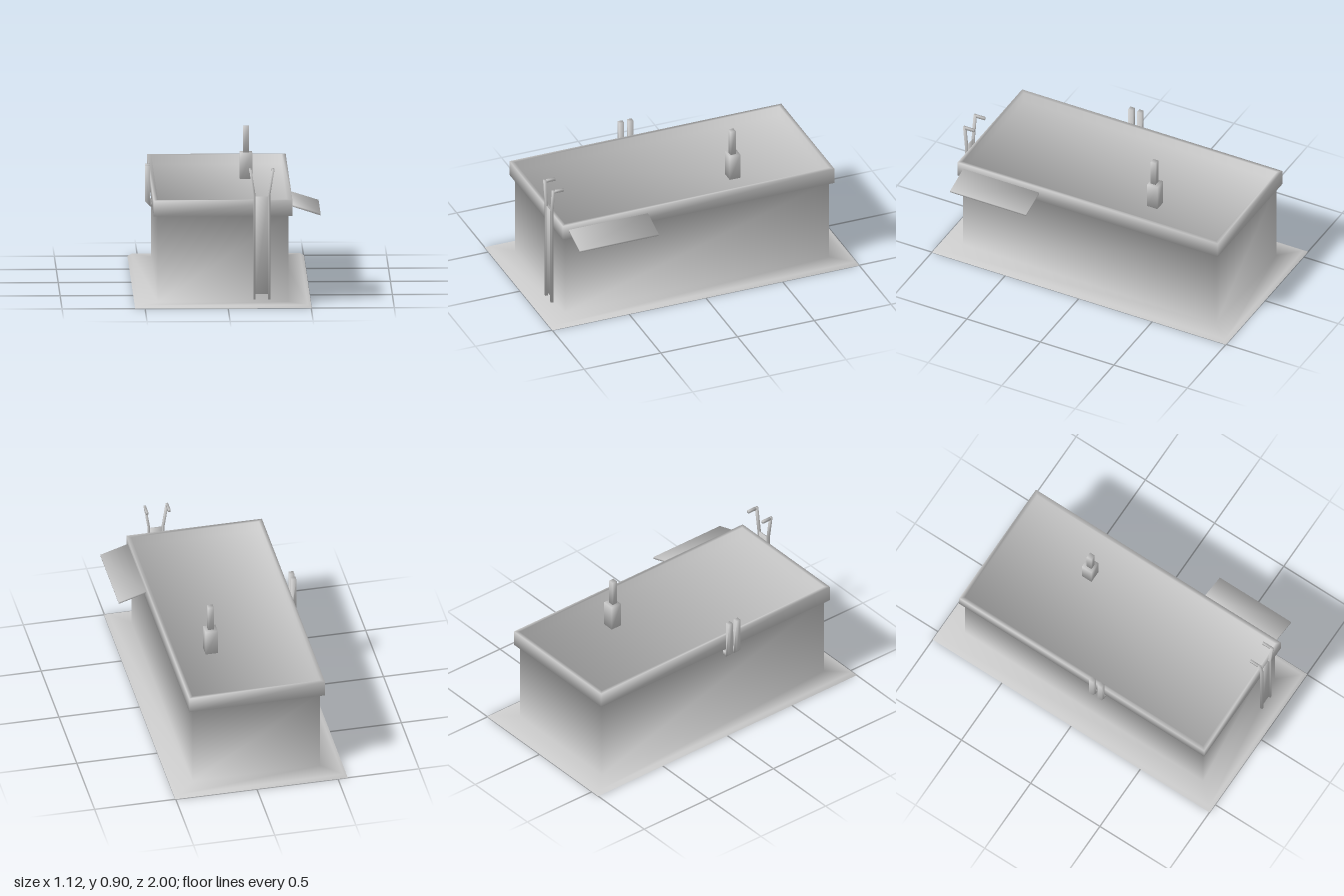
import * as THREE from 'three';
import { mergeVertices } from 'three/addons/utils/BufferGeometryUtils.js';

const grey = () => new THREE.MeshStandardMaterial({ color: 0xcccccc, side: THREE.DoubleSide });

// Rounds the shading over all edges: each corner averages the distinct faces that meet there
function soften(source) {
  source.deleteAttribute('normal');
  source.deleteAttribute('uv');
  const g = mergeVertices(source, 1e-4);
  const pos = g.attributes.position;
  const faces = Array.from({ length: pos.count }, () => []);
  const tri = new THREE.Triangle();
  for (let i = 0; i < g.index.count; i += 3) {
    const ids = [0, 1, 2].map((k) => g.index.getX(i + k));
    tri.setFromAttributeAndIndices(pos, ...ids);
    const n = tri.getNormal(new THREE.Vector3());
    for (const id of ids) {
      if (!faces[id].some((f) => f.dot(n) > 0.99)) faces[id].push(n);
    }
  }
  const normals = faces.flatMap((list) =>
    list.reduce((sum, f) => sum.add(f), new THREE.Vector3()).normalize().toArray());
  g.setAttribute('normal', new THREE.Float32BufferAttribute(normals, 3));
  return g;
}

function add(parent, name, geometry, x = 0, y = 0, z = 0) {
  const mesh = new THREE.Mesh(soften(geometry), grey());
  mesh.name = name;
  mesh.position.set(x, y, z);
  parent.add(mesh);
}

// Extrudes an outline in x/y by a depth centred on z = 0
function slab(points, depth) {
  const shape = new THREE.Shape(points.map(([x, y]) => new THREE.Vector2(x, y)));
  return new THREE.ExtrudeGeometry(shape, { depth, bevelEnabled: false }).translate(0, 0, -depth / 2);
}

// Joins rectangular rings [x0, x1, halfZ, y] into one sheet, closing the last ring
function rectLoft(rings) {
  const positions = [], index = [];
  for (const [x0, x1, h, y] of rings) positions.push(x0, y, h, x1, y, h, x1, y, -h, x0, y, -h);
  for (let r = 0; r < rings.length - 1; r++) {
    for (let i = 0; i < 4; i++) {
      const a = r * 4 + i, b = r * 4 + (i + 1) % 4;
      index.push(a, b, b + 4, a, b + 4, a + 4);
    }
  }
  const l = (rings.length - 1) * 4;
  index.push(l, l + 1, l + 2, l, l + 2, l + 3);
  const g = new THREE.BufferGeometry();
  g.setAttribute('position', new THREE.Float32BufferAttribute(positions, 3));
  g.setIndex(index);
  return g;
}

export function createModel() {
  const model = new THREE.Group();
  model.name = 'pool';

  // Ground skirt, walls, overhanging rim and water surface
  add(model, 'basin', rectLoft([
    [-0.56, 0.503, 1, 0],
    [-0.535, 0.48, 0.98, 0.017],
    [-0.42, 0.365, 0.86, 0.017],
    [-0.42, 0.365, 0.86, 0.542],
    [-0.445, 0.39, 0.885, 0.542],
    [-0.445, 0.39, 0.885, 0.64],
    [-0.42, 0.365, 0.86, 0.64],
    [-0.42, 0.365, 0.86, 0.58],
  ]));

  // Sloping side shelf
  add(model, 'sideShelf', slab([[0.39, 0.594], [0.558, 0.54], [0.56, 0.552], [0.39, 0.606]], 0.515), 0, 0, 0.588);

  // Floating post in the water
  add(model, 'floatBox', new THREE.BoxGeometry(0.075, 0.165, 0.07), 0.138, 0.6575, -0.327);
  add(model, 'floatPost', new THREE.BoxGeometry(0.036, 0.17, 0.034), 0.138, 0.815, -0.322);

  // Pair of elbow pipes beside the wall
  for (const z of [0.092, 0.152]) {
    add(model, 'elbowPipe', slab([
      [-0.48, 0.737], [-0.48, 0.52], [-0.452, 0.49], [-0.418, 0.49],
      [-0.418, 0.518], [-0.44, 0.518], [-0.45, 0.53], [-0.45, 0.737],
    ], 0.03), 0, 0, z);
  }

  // Ladder with flared rails, rearward hooks and a back panel
  const ladder = new THREE.Group();
  ladder.name = 'ladder';
  ladder.position.set(0.205, 0, 0.898);
  model.add(ladder);
  for (const s of [-1, 1]) {
    add(ladder, 'ladderRail', slab([
      [s * 0.037, 0.037], [s * 0.051, 0.037], [s * 0.051, 0.67],
      [s * 0.076, 0.828], [s * 0.061, 0.828], [s * 0.037, 0.67],
    ], 0.016));
    add(ladder, 'ladderHook', new THREE.BoxGeometry(0.015, 0.016, 0.062), s * 0.0685, 0.82, -0.036);
  }
  add(ladder, 'ladderPanel', new THREE.BoxGeometry(0.075, 0.595, 0.008), 0, 0.3675, -0.002);

  return model;
}
